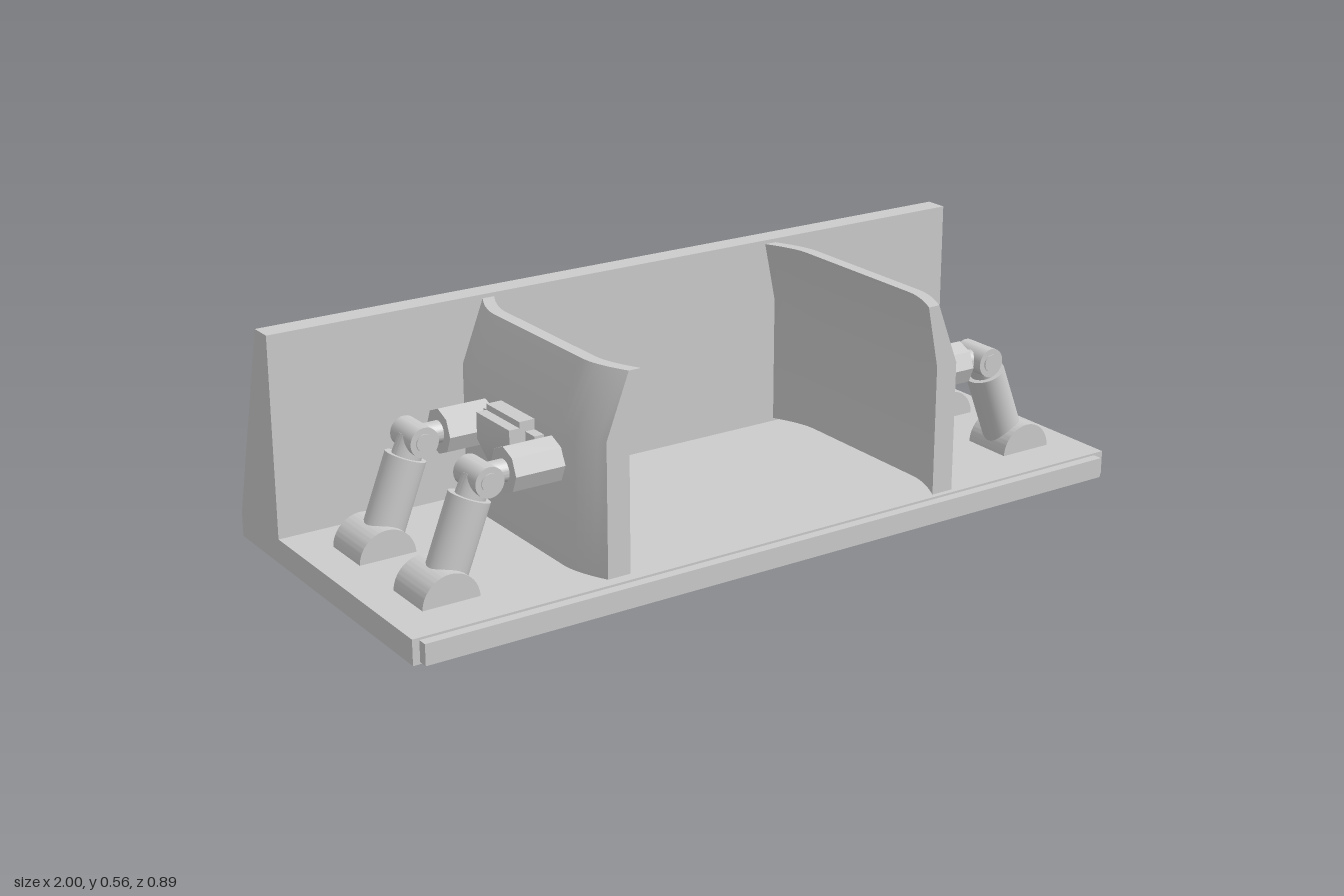
import * as THREE from 'three';
import { toCreasedNormals } from 'three/addons/utils/BufferGeometryUtils.js';

const material = new THREE.MeshStandardMaterial({ color: 0xcccccc });

function add(parent, name, geometry) {
  const mesh = new THREE.Mesh(toCreasedNormals(geometry, 0.5), material);
  mesh.name = name;
  parent.add(mesh);
  return mesh;
}

// Cylinder between two points
function rod(parent, name, a, b, radius, sides = 24) {
  const from = new THREE.Vector3(...a), to = new THREE.Vector3(...b);
  const dir = to.clone().sub(from);
  const mesh = add(parent, name, new THREE.CylinderGeometry(radius, radius, dir.length(), sides));
  mesh.position.copy(from).add(to).multiplyScalar(0.5);
  mesh.quaternion.setFromUnitVectors(new THREE.Vector3(0, 1, 0), dir.normalize());
  return mesh;
}

// Outline in x, y pushed along z from z0 to z1
function prism(points, z0, z1, steps = 1) {
  const shape = new THREE.Shape(points.map(p => new THREE.Vector2(...p)));
  return new THREE.ExtrudeGeometry(shape, { depth: z1 - z0, steps, bevelEnabled: false })
    .translate(0, 0, z0);
}

// Side plate: leaning top, both ends curling inward
function plateGeometry(z0, z1) {
  const outline = [[0.435, 0.07], [0.495, 0.07], [0.495, 0.4], [0.435, 0.555], [0.403, 0.555], [0.435, 0.4]];
  const geometry = prism(outline, z0, z1, 32);
  const pos = geometry.attributes.position;
  for (let i = 0; i < pos.count; i++) {
    const z = pos.getZ(i);
    const toEnd = Math.min(z - z0, z1 - z);
    const t = Math.max(0, 1 - toEnd / 0.12);
    pos.setX(i, pos.getX(i) + 0.04 * (1 - t ** 1.6));
  }
  geometry.deleteAttribute('normal');
  geometry.computeVertexNormals();
  return geometry;
}

// Strut: horizontal arm, knuckle, slanted leg and round foot
function createStrut(z) {
  const strut = new THREE.Group();
  strut.name = 'strut';
  rod(strut, 'arm', [0.53, 0.317, 0], [0.662, 0.317, 0], 0.056, 8);
  rod(strut, 'armNeck', [0.655, 0.317, 0], [0.72, 0.317, 0], 0.027);
  rod(strut, 'knuckle', [0.725, 0.317, -0.05], [0.725, 0.317, 0.05], 0.037);
  rod(strut, 'knucklePin', [0.725, 0.317, -0.053], [0.725, 0.317, 0.053], 0.022);
  rod(strut, 'legNeck', [0.728, 0.317, 0], [0.755, 0.26, 0], 0.036);
  rod(strut, 'leg', [0.75, 0.275, 0], [0.828, 0.075, 0], 0.05);
  const foot = new THREE.Shape();
  foot.absarc(0.84, 0.06, 0.073, 0, Math.PI);
  add(strut, 'foot', new THREE.ExtrudeGeometry(foot, { depth: 0.135, bevelEnabled: false, curveSegments: 20 })
    .translate(0, 0, -0.0675));
  strut.position.z = z;
  return strut;
}

// One clamp side, built towards +x around its own z centre
function createSide(name, z0, z1) {
  const side = new THREE.Group();
  side.name = name;
  add(side, 'sidePlate', plateGeometry(z0, z1));
  const backing = add(side, 'backingBar', new THREE.BoxGeometry(0.03, 0.105, 0.23));
  backing.position.set(0.545, 0.312, 0);
  const block = [[0.52, 0.235], [0.545, 0.235], [0.575, 0.25], [0.602, 0.31], [0.602, 0.375],
    [0.575, 0.375], [0.575, 0.39], [0.52, 0.39]];
  add(side, 'bracket', prism(block, -0.075, 0.075));
  for (const z of [-0.15, 0.15]) side.add(createStrut(z));
  side.position.z = 0.088;
  return side;
}

export function createModel() {
  const model = new THREE.Group();
  model.name = 'model';

  // Floor and sloping back wall in one piece; outline runs along z
  const outline = [[-0.42, 0], [0.445, 0], [0.445, 0.0625], [0.3, 0.565], [0.24, 0.565], [0.24, 0.0625], [-0.42, 0.0625]];
  add(model, 'baseAndBackWall', prism(outline, -1, 1).rotateY(Math.PI / 2));

  const strip = add(model, 'frontStrip', new THREE.BoxGeometry(1.955, 0.052, 0.03));
  strip.position.set(-0.005, 0.031, 0.43);

  model.add(createSide('leftSide', -0.328, 0.332));
  const right = createSide('rightSide', -0.317, 0.328);
  right.rotation.y = Math.PI;
  model.add(right);
  return model;
}
